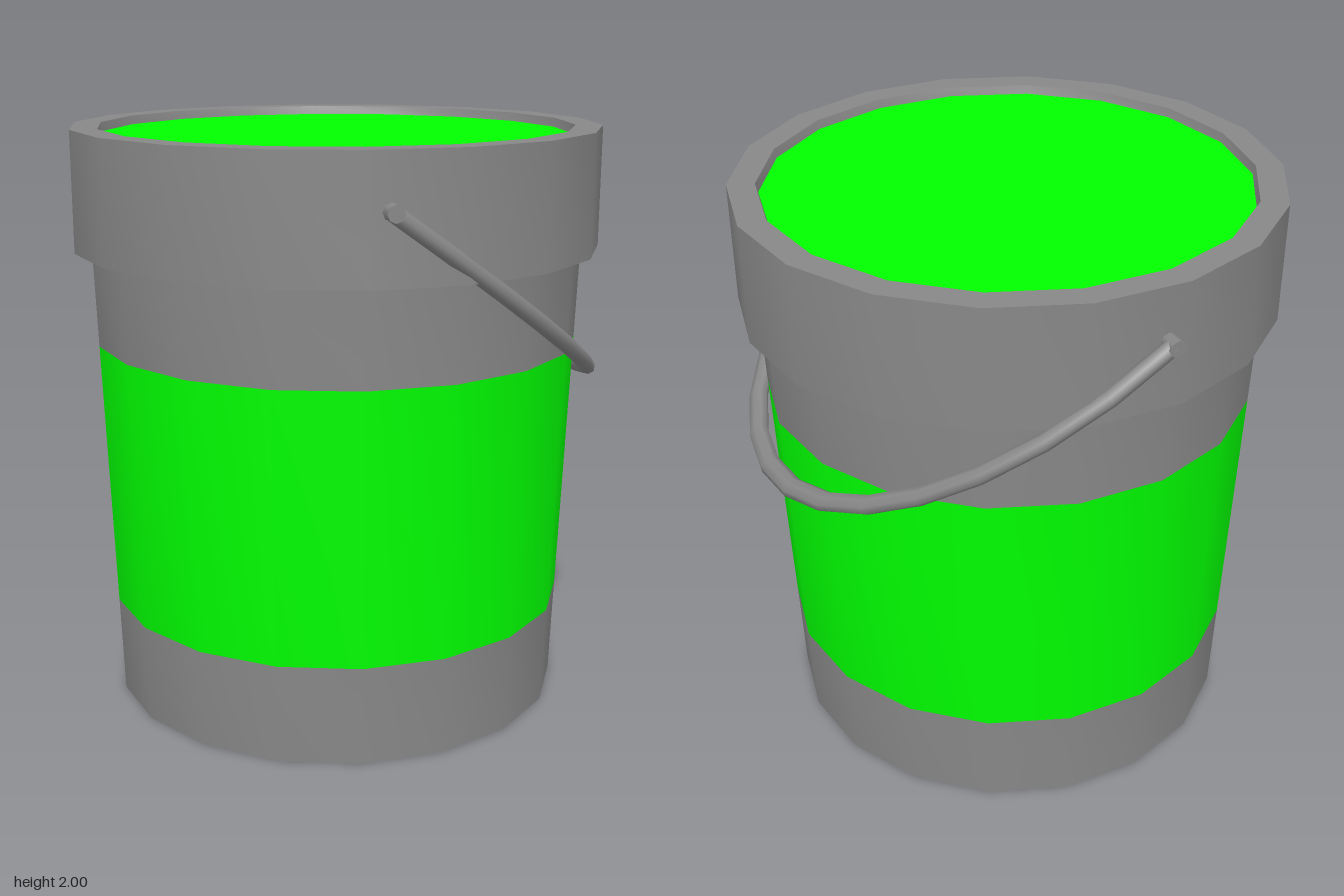
import * as THREE from 'three';
import { toCreasedNormals } from 'three/addons/utils/BufferGeometryUtils.js';

const SIDES = 18;
const grey = new THREE.MeshStandardMaterial({ color: 0x888888 });
const green = new THREE.MeshStandardMaterial({ color: 0x00ff00 });

function part(name, geometry, material) {
  const mesh = new THREE.Mesh(geometry, material);
  mesh.name = name;
  return mesh;
}

// Turned part with a corner on the x axis; profile runs [radius, y]
function turned(name, profile, material) {
  const points = profile.map(([r, y]) => new THREE.Vector2(r, y));
  const geometry = new THREE.LatheGeometry(points, SIDES, Math.PI / 2);
  return part(name, toCreasedNormals(geometry, 0.6), material);
}

export function createModel() {
  const model = new THREE.Group();
  model.name = 'paintBucket';

  // Tapered body: grey base, green label band, grey shoulder
  const bucket = new THREE.Group();
  bucket.name = 'bucket';
  bucket.position.set(-0.008, 0, 0.004);
  const wall = (y) => [0.793 + 0.035 * y, y];
  bucket.add(turned('base', [[0, 0], wall(0), wall(0.342)], grey));
  bucket.add(turned('labelBand', [wall(0.342), wall(1.27)], green));
  bucket.add(turned('shoulder', [wall(1.27), wall(1.61)], grey));

  // Thick collar, open at the top down to the paint
  bucket.add(turned('rim',
    [[0.84, 1.592], [0.907, 1.592], [0.907, 2], [0.815, 2], [0.807, 1.97]], grey));
  const paint = part('paint', new THREE.CircleGeometry(0.808, SIDES), green);
  paint.rotation.x = -Math.PI / 2;
  paint.position.y = 1.97;
  bucket.add(paint);
  model.add(bucket);

  // Handle: half ring stretched to an oval, hanging down towards +x
  const handle = new THREE.Group();
  handle.name = 'handle';
  handle.position.set(-0.1, 1.82, 0);
  const radius = 0.028;
  const across = new THREE.Vector3(0, 0, 1);
  const down = new THREE.Vector3(0.976, -0.7, 0).normalize();
  const normal = new THREE.Vector3().crossVectors(across, down);
  const ring = new THREE.TorusGeometry(0.918, radius, 8, 16, Math.PI);
  ring.scale(1, 1.308, 1);
  ring.applyMatrix4(new THREE.Matrix4().makeBasis(across, down, normal));
  handle.add(part('handleBar', ring, grey));

  // Pins joining the handle to the rim
  for (const side of [1, -1]) {
    const pin = part('handlePin', new THREE.CylinderGeometry(radius, radius, 0.1, 8), grey);
    pin.rotation.x = Math.PI / 2;
    pin.position.z = side * 0.894;
    handle.add(pin);
  }
  model.add(handle);
  return model;
}
